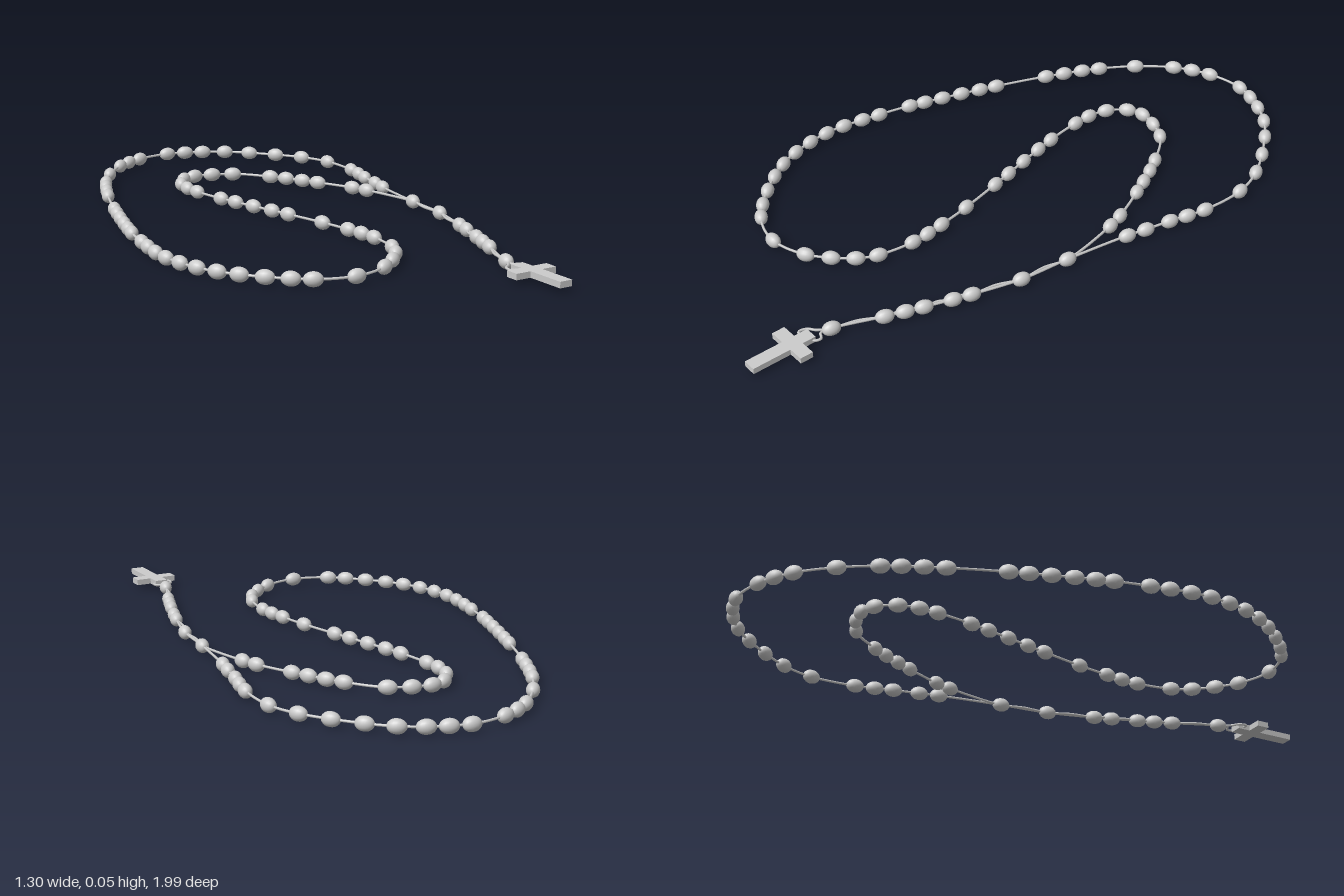
import * as THREE from 'three';

const Y = 0.024; // height of the cord's centre line

// Shared tail, from the cross up to where the strands part: x, z, beads up to the next point
const TAIL = [
  [0.515, 0.716, 0], [0.505, 0.547, 1], [0.494, 0.42, 0], [0.484, 0.325, 0],
  [0.476, 0.262, 0], [0.447, 0.092, 0], [0.391, -0.077, 0],
];

// Outer sweep, from the parting point round the back to the front
const OUTER = [
  [0.328, -0.299, 0], [0.314, -0.367, 0], [0.293, -0.457, 1], [0.267, -0.589, 0],
  [0.203, -0.737, 0], [0.119, -0.827, 1], [-0.066, -0.933, 0], [-0.156, -0.965, 0],
  [-0.24, -0.975, 1], [-0.375, -0.959, 0], [-0.484, -0.885, 1], [-0.563, -0.774, 0],
  [-0.608, -0.642, 0], [-0.629, -0.51, 2], [-0.632, -0.309, 0], [-0.621, -0.119, 4],
  [-0.584, 0.209, 0], [-0.56, 0.325, 2], [-0.5, 0.526, 2], [-0.362, 0.703, 3],
  [-0.092, 0.827, 0],
];

// Inner sweep, from the front back to the parting point
const INNER = [
  [0.04, 0.811, 0], [0.14, 0.724, 1], [0.203, 0.573, 0], [0.206, 0.5, 0],
  [0.172, 0.378, 1], [0.108, 0.267, 0], [0.04, 0.166, 0], [-0.055, 0.04, 3],
  [-0.251, -0.214, 0], [-0.322, -0.325, 0], [-0.351, -0.383, 0], [-0.367, -0.452, 0],
  [-0.351, -0.526, 0], [-0.309, -0.568, 1], [-0.169, -0.584, 0], [-0.04, -0.521, 2],
  [0.114, -0.404, 0], [0.222, -0.309, 0], [0.264, -0.262, 0],
];

// Small loop of cord that carries the cross, either side of the last bead
const LOOP_START = [[0.557, 0.776], [0.552, 0.755], [0.527, 0.752]];
const LOOP_END = [[0.51, 0.762], [0.497, 0.79], [0.505, 0.817]];

// Second strand of the tail: meets the first in each bead and bows aside between them
function returnStrand() {
  const points = [];
  for (let i = TAIL.length - 1; i >= 0; i--) {
    const [x, z] = TAIL[i];
    points.push([x, z]);
    if (i > 0) {
      const [nx, nz] = TAIL[i - 1];
      points.push([(x + nx) / 2 - 0.009, (z + nz) / 2]);
    }
  }
  return points;
}

function crossGeometry() {
  const w = 0.0225, arm = 0.075, top = 0.07, bottom = 0.157, depth = 0.02;
  const shape = new THREE.Shape([
    [-w, -bottom], [w, -bottom], [w, -w], [arm, -w], [arm, w], [w, w],
    [w, top], [-w, top], [-w, w], [-arm, w], [-arm, -w], [-w, -w],
  ].map(([x, y]) => new THREE.Vector2(x, y)));
  const geometry = new THREE.ExtrudeGeometry(shape, { depth, bevelEnabled: false });
  return geometry.translate(0, 0, -depth / 2).rotateX(-Math.PI / 2);
}

export function createModel() {
  const model = new THREE.Group();
  model.name = 'beadedCord';
  const material = new THREE.MeshStandardMaterial({ color: 0xcccccc });

  // Cord: one closed strand
  const strung = [...TAIL, ...OUTER, ...INNER];
  const path = [...LOOP_START, ...strung, ...returnStrand(), ...LOOP_END];
  const curve = new THREE.CatmullRomCurve3(
    path.map(([x, z]) => new THREE.Vector3(x, Y, z)), true, 'centripetal');
  curve.arcLengthDivisions = 2400;
  const cord = new THREE.Mesh(new THREE.TubeGeometry(curve, 1100, 0.0045, 6, true), material);
  cord.name = 'cord';
  model.add(cord);

  // Beads: one on every strung point, plus those spread up to the next
  const beads = new THREE.Group();
  beads.name = 'beads';
  const beadGeometry = new THREE.SphereGeometry(1, 18, 12).rotateX(Math.PI / 2).scale(0.022, 0.024, 0.031);
  strung.forEach(([, , extra], i) => {
    for (let k = 0; k <= extra; k++) {
      const t = (LOOP_START.length + i + k / (extra + 1)) / path.length;
      const bead = new THREE.Mesh(beadGeometry, material);
      bead.name = 'bead';
      bead.position.copy(curve.getPoint(t));
      bead.lookAt(bead.position.clone().add(curve.getTangent(t)));
      beads.add(bead);
    }
  });
  model.add(beads);

  // Cross lying flat at the end of the tail
  const cross = new THREE.Mesh(crossGeometry(), material);
  cross.name = 'cross';
  cross.position.set(0.56, Y + 0.001, 0.845);
  cross.rotation.y = 0.426;
  model.add(cross);

  return model;
}
